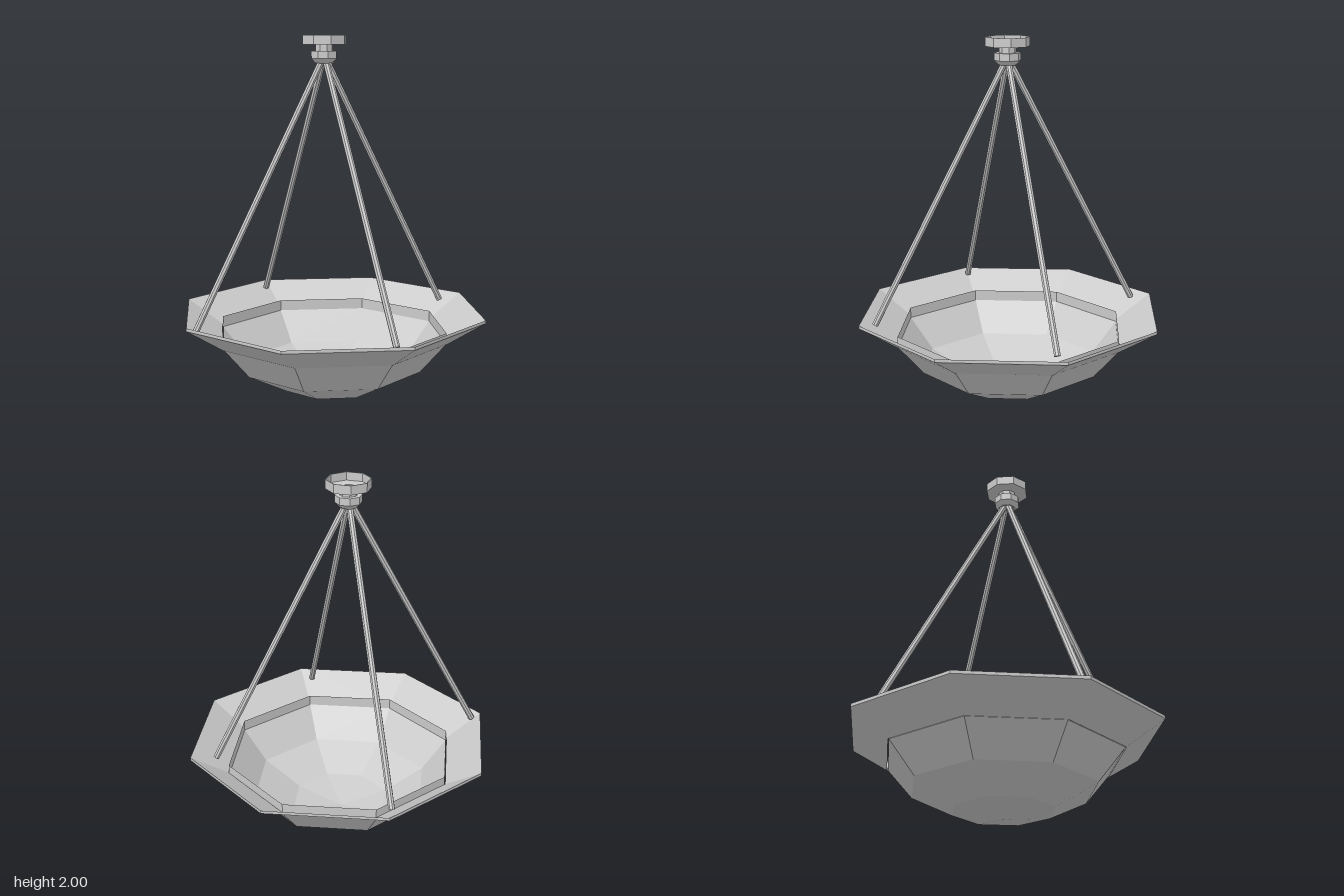
import * as THREE from 'three';

const SIDES = 8;
const HANGER_X = -0.045; // the hanger sits slightly off the bowl's axis

const material = new THREE.MeshStandardMaterial({
  color: 0xcccccc, flatShading: true, side: THREE.DoubleSide,
});

// Eight-sided turned part from [radius, height] pairs
function turned(name, points, phi = 0) {
  const profile = points.map(([r, y]) => new THREE.Vector2(r, y));
  const mesh = new THREE.Mesh(new THREE.LatheGeometry(profile, SIDES, phi), material);
  mesh.name = name;
  return mesh;
}

// Straight round bar between two points
function bar(name, from, to, radius) {
  const dir = to.clone().sub(from);
  const mesh = new THREE.Mesh(new THREE.CylinderGeometry(radius, radius, dir.length(), SIDES), material);
  mesh.position.copy(from).add(to).multiplyScalar(0.5);
  mesh.quaternion.setFromUnitVectors(new THREE.Vector3(0, 1, 0), dir.normalize());
  mesh.name = name;
  return mesh;
}

export function createModel() {
  const model = new THREE.Group();
  model.name = 'pendantLamp';

  // Faceted bowl with a short upright lip
  model.add(turned('bowl', [
    [0, 0], [0.28, 0.045], [0.51, 0.16], [0.655, 0.33], [0.655, 0.392],
  ]));

  // Flared rim around the bowl, with a thin upright edge
  model.add(turned('flaredRim', [
    [0.66, 0.33], [0.868, 0.463], [0.868, 0.48], [0.66, 0.346], [0.66, 0.33],
  ]));

  // Hanger: ceiling cup, neck and collar, open through the middle
  const hanger = new THREE.Group();
  hanger.name = 'hanger';
  hanger.position.x = HANGER_X;
  const twist = THREE.MathUtils.degToRad(33.75);
  hanger.add(turned('ceilingCup', [
    [0.045, 1.95], [0.122, 1.95], [0.122, 2], [0.117, 2], [0.117, 1.955], [0.045, 1.955],
  ], twist));
  hanger.add(turned('neck', [[0.048, 1.91], [0.048, 1.955]], twist));
  hanger.add(turned('collar', [
    [0.04, 1.85], [0.05, 1.85], [0.073, 1.875], [0.073, 1.915], [0.04, 1.915], [0.04, 1.85],
  ], twist));

  // Four rods spreading from the collar to the rim
  for (let i = 0; i < 4; i++) {
    const a = (i * Math.PI) / 2;
    const at = (r, y) => new THREE.Vector3(r * Math.cos(a), y, r * Math.sin(a));
    hanger.add(bar('rod' + (i + 1), at(0.012, 1.87), at(0.768, 0.458), 0.018));
  }
  model.add(hanger);
  return model;
}
